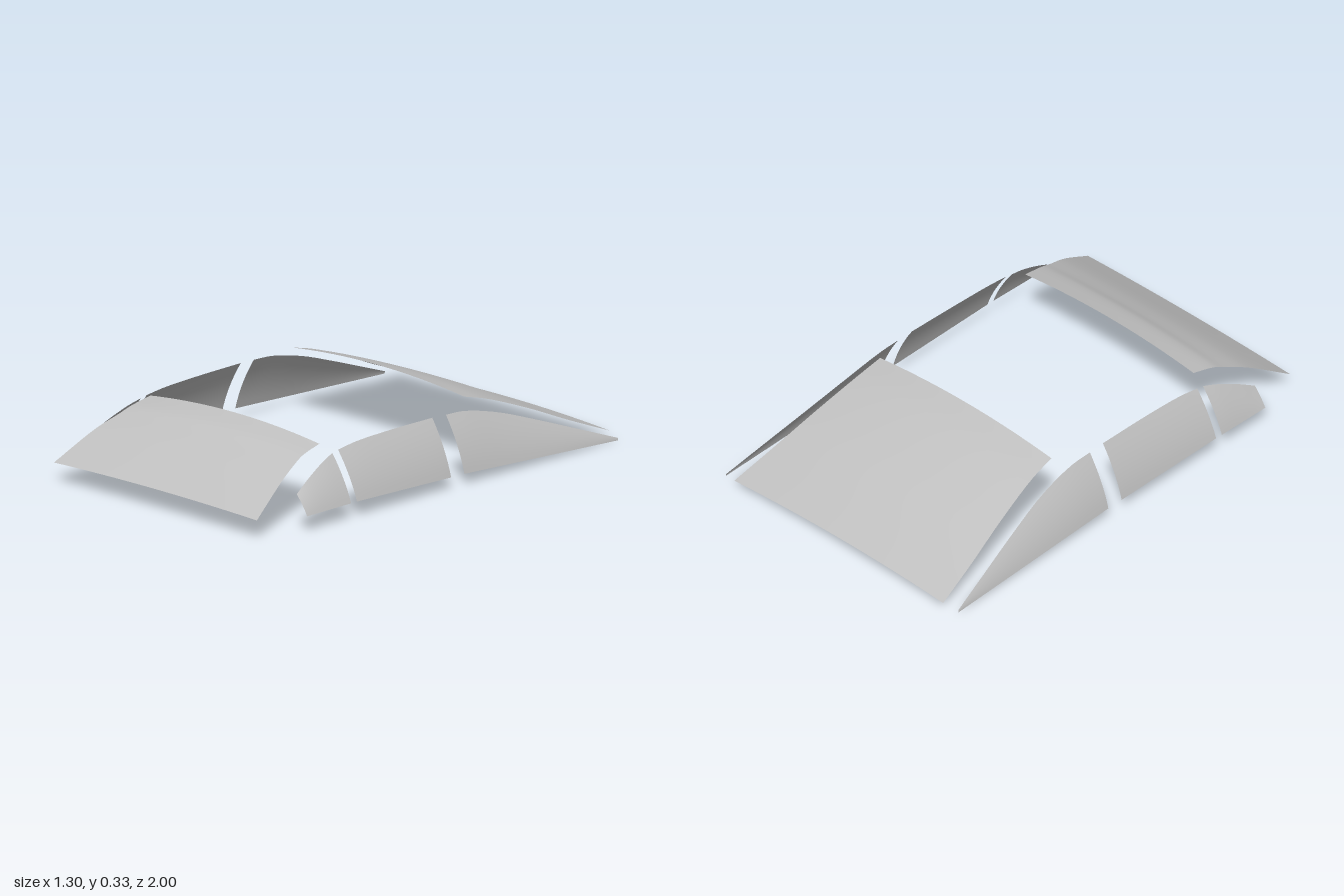
import * as THREE from 'three';

const glass = new THREE.MeshStandardMaterial({ color: 0xc0c0c0, side: THREE.DoubleSide });
glass.name = 'grey glass';

// Smooth curve through the given points, sampled at u in 0..1
const curveThrough = (pts) => new THREE.CatmullRomCurve3(pts.map((p) => new THREE.Vector3(...p)), false, 'centripetal');

// Open sheet from a rule point(u, s) -> [x, y, z]
function sheet(name, point, nu, ns) {
  const pos = [], index = [];
  for (let i = 0; i <= nu; i++) {
    for (let j = 0; j <= ns; j++) {
      pos.push(...point(i / nu, j / ns));
      if (i < nu && j < ns) {
        const a = i * (ns + 1) + j, b = a + ns + 1;
        index.push(a, a + 1, b, a + 1, b + 1, b);
      }
    }
  }
  const geo = new THREE.BufferGeometry();
  geo.setAttribute('position', new THREE.Float32BufferAttribute(pos, 3));
  geo.setIndex(index);
  geo.computeVertexNormals();
  const mesh = new THREE.Mesh(geo, glass);
  mesh.name = name;
  return mesh;
}

// Screen arched across its width; stations are [half width, edge height, z], crown is the rise at each end
function screen(name, stations, crownFront, crownBack) {
  const edge = curveThrough(stations);
  return sheet(name, (u, s) => {
    const p = edge.getPoint(u), t = 2 * s - 1;
    const crown = THREE.MathUtils.lerp(crownFront, crownBack, u);
    return [p.x * t, p.y + crown * (1 - t * t), p.z];
  }, 20, 20);
}

// Side pane between a top edge and a straight sill, bowed slightly outward
function sidePane(name, top, sillFront, sillBack, side) {
  const edge = curveThrough(top);
  const a = new THREE.Vector3(...sillFront), b = new THREE.Vector3(...sillBack);
  const zSpan = a.z - b.z;
  return sheet(name, (u, s) => {
    const v = side > 0 ? s : 1 - s;
    const p = edge.getPoint(u);
    const q = a.clone().lerp(b, (a.z - p.z) / zSpan);
    const height = p.y - q.y;
    const r = p.lerp(q, v);
    return [side * (r.x + 0.2 * height * v * (1 - v)), r.y, r.z];
  }, 16, 8);
}

export function createModel() {
  const model = new THREE.Group();
  model.name = 'carWindows';

  // Front and rear screens
  model.add(screen('windshield', [
    [0.565, 0.085, 1], [0.518, 0.195, 0.81], [0.49, 0.24, 0.705], [0.48, 0.262, 0.65], [0.47, 0.285, 0.545],
  ], 0.01, 0.03));
  model.add(screen('rearWindow', [
    [0.478, 0.303, -0.275], [0.489, 0.268, -0.4], [0.52, 0.188, -0.61], [0.552, 0.105, -0.8], [0.583, 0.024, -1],
  ], 0.029, 0.02));

  // Three panes on each side
  for (const [side, label] of [[1, 'left'], [-1, 'right']]) {
    model.add(sidePane(label + 'FrontQuarterWindow', [
      [0.578, 0.15, 0.785], [0.562, 0.195, 0.7], [0.544, 0.238, 0.6], [0.533, 0.258, 0.535],
    ], [0.636, 0.07, 0.785], [0.638, 0.07, 0.535], side));
    model.add(sidePane(label + 'DoorWindow', [
      [0.533, 0.264, 0.502], [0.53, 0.275, 0.4], [0.53, 0.28, 0.2], [0.533, 0.279, -0.037],
    ], [0.638, 0.07, 0.502], [0.638, 0.052, -0.037], side));
    model.add(sidePane(label + 'RearQuarterWindow', [
      [0.535, 0.275, -0.113], [0.536, 0.268, -0.22], [0.549, 0.225, -0.4], [0.58, 0.155, -0.6],
      [0.616, 0.08, -0.8], [0.648, 0.012, -0.98],
    ], [0.638, 0.05, -0.113], [0.65, 0.002, -0.98], side));
  }
  return model;
}
